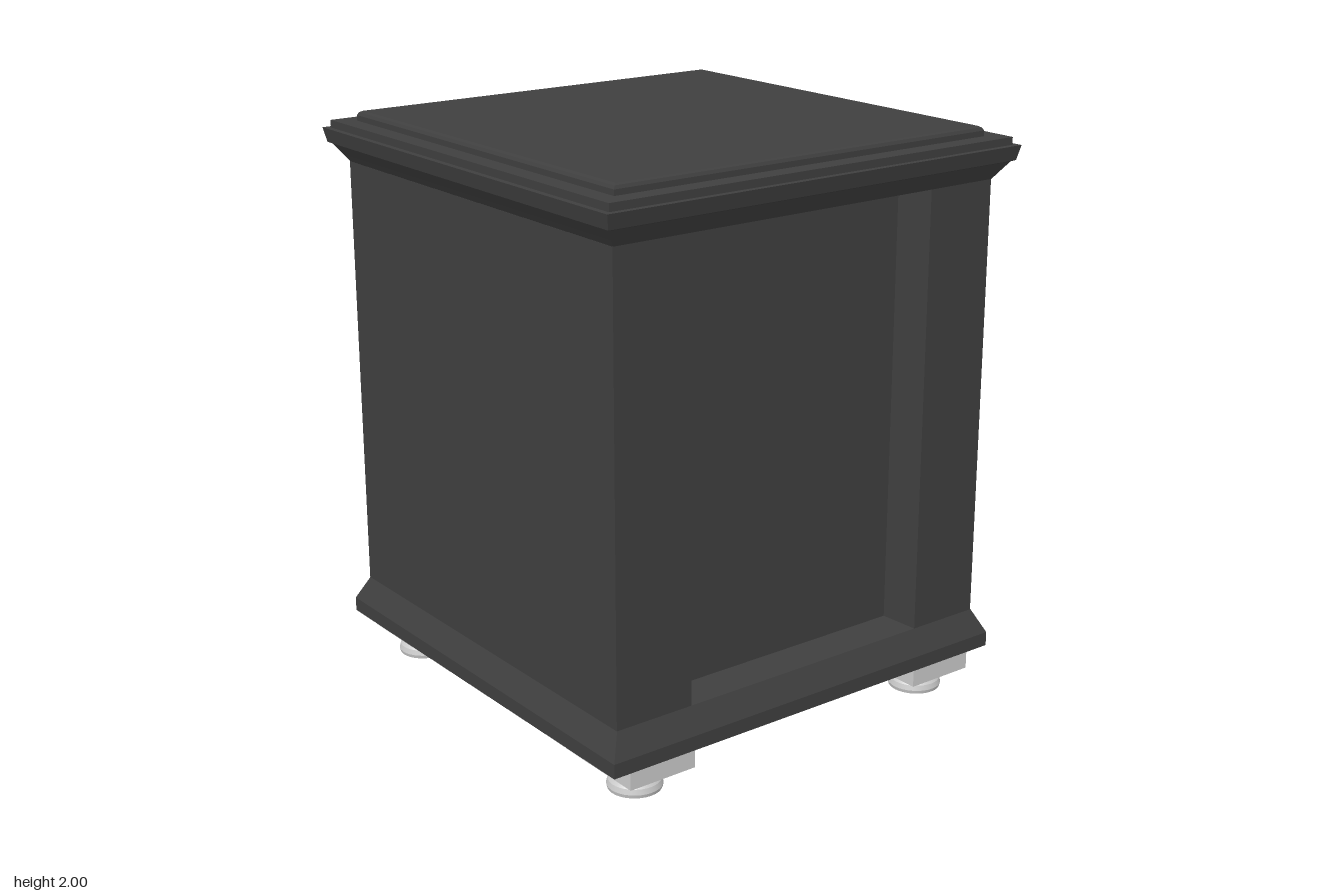
import * as THREE from 'three';

const dark = new THREE.MeshStandardMaterial({ color: 0x3f3f3f });
const grey = new THREE.MeshStandardMaterial({ color: 0xcccccc });
const CX = -0.028; // centre of the carcass in x

function add(parent, name, geometry, material, x = 0, y = 0, z = 0) {
  const mesh = new THREE.Mesh(geometry, material);
  mesh.name = name;
  mesh.position.set(x, y, z);
  parent.add(mesh);
  return mesh;
}

function boxBetween(parent, name, material, [x0, x1], [y0, y1], [z0, z1]) {
  return add(parent, name, new THREE.BoxGeometry(x1 - x0, y1 - y0, z1 - z0), material,
    (x0 + x1) / 2, (y0 + y1) / 2, (z0 + z1) / 2);
}

const toPoints = (list) => list.map(([a, b]) => new THREE.Vector2(a, b));

// Square moulding: a four-sided lathe from [half width, height] pairs, bottom to top
function squareMoulding(profile) {
  const points = toPoints(profile.map(([half, y]) => [half * Math.SQRT2, y]));
  const geometry = new THREE.LatheGeometry(points, 4, Math.PI / 4).toNonIndexed();
  geometry.computeVertexNormals();
  return geometry;
}

// Turned part with crisp edges: each profile point is doubled
function turned(profile, segments) {
  const pieces = new THREE.Group();
  for (let i = 0; i < profile.length - 1; i++) {
    add(pieces, 'turnedRing', new THREE.LatheGeometry(toPoints(profile.slice(i, i + 2)), segments), grey);
  }
  return pieces;
}

export function createModel() {
  const model = new THREE.Group();
  model.name = 'nightstand';

  // Carcass plan: recessed panels on both z sides, drawer cavity open to +x
  const plan = toPoints([
    [-0.797, 0.768], [-0.505, 0.768], [-0.495, 0.625], [0.458, 0.625], [0.468, 0.768], [0.738, 0.768],
    [0.738, 0.55], [-0.4, 0.55], [-0.4, -0.54], [0.738, -0.54],
    [0.738, -0.768], [0.468, -0.768], [0.458, -0.625], [-0.495, -0.625], [-0.505, -0.768], [-0.797, -0.768],
  ].map(([x, z]) => [x, -z]));
  const carcass = new THREE.ExtrudeGeometry(new THREE.Shape(plan), { depth: 1.54, bevelEnabled: false });
  carcass.rotateX(-Math.PI / 2);
  add(model, 'carcass', carcass, dark, 0, 0.285, 0);

  // Recessed front panel behind the drawers, notched at the sides
  const fascia = toPoints([
    [-0.55, 0.28], [0.54, 0.28], [0.54, 1.055], [0.52, 1.055], [0.52, 1.3], [0.54, 1.3],
    [0.54, 1.83], [-0.55, 1.83], [-0.55, 1.5], [-0.46, 1.5], [-0.46, 1.055], [-0.55, 1.055],
  ]);
  const fasciaGeometry = new THREE.ExtrudeGeometry(new THREE.Shape(fascia), { depth: 0.05, bevelEnabled: false });
  fasciaGeometry.rotateY(Math.PI / 2);
  add(model, 'frontPanel', fasciaGeometry, dark, 0.62, 0, 0);

  // Plinth and stepped top
  add(model, 'plinth', squareMoulding([
    [0, 0.15], [0.81, 0.15], [0.81, 0.2], [0.768, 0.285], [0, 0.285],
  ]), dark, CX);
  add(model, 'top', squareMoulding([
    [0, 1.825], [0.768, 1.825], [0.785, 1.85], [0.81, 1.885], [0.822, 1.89], [0.833, 1.94],
    [0.812, 1.94], [0.812, 1.966], [0.746, 1.966], [0.746, 1.985], [0.74, 1.995], [0.73, 2], [0, 2],
  ]), dark, CX);

  // Drawers, each with two turned knobs
  const knobProfile = [
    [0.057, 0], [0.057, 0.012], [0.046, 0.027], [0.022, 0.027], [0.018, 0.045],
    [0.022, 0.06], [0.033, 0.07], [0.033, 0.075], [0, 0.077],
  ];
  for (const [name, y0, y1, knobY, boxY0] of [
    ['lowerDrawer', 0.505, 0.955, 0.715, 0.49],
    ['upperDrawer', 1.19, 1.635, 1.415, 1.2],
  ]) {
    const drawer = new THREE.Group();
    drawer.name = name;
    boxBetween(drawer, 'drawerFront', grey, [0.738, 0.78], [y0, y1], [-0.54, 0.55]);
    boxBetween(drawer, 'drawerBox', dark, [-0.35, 0.739], [boxY0, y1 - 0.03], [-0.45, 0.46]);
    for (const z of [-0.28, 0.285]) {
      const knob = turned(knobProfile, 32);
      knob.name = 'knob';
      knob.rotation.z = -Math.PI / 2;
      knob.position.set(0.78, knobY, z);
      drawer.add(knob);
    }
    model.add(drawer);
  }

  // Feet: flat block over a turned bun
  const footProfile = [
    [0, 0], [0.09, 0], [0.093, 0.012], [0.088, 0.03], [0.072, 0.05], [0.06, 0.058],
    [0.062, 0.064], [0.09, 0.066], [0.105, 0.073], [0.105, 0.082],
  ];
  for (const [x, x0, x1] of [[-0.645, -0.765, -0.51], [0.59, 0.447, 0.702]]) {
    for (const side of [-1, 1]) {
      const foot = new THREE.Group();
      foot.name = 'foot';
      boxBetween(foot, 'footBlock', grey, [x0, x1], [0.08, 0.152], side > 0 ? [0.44, 0.795] : [-0.795, -0.44]);
      const bun = turned(footProfile, 32);
      bun.name = 'bun';
      bun.position.set(x, 0, side * 0.653);
      foot.add(bun);
      model.add(foot);
    }
  }
  return model;
}
